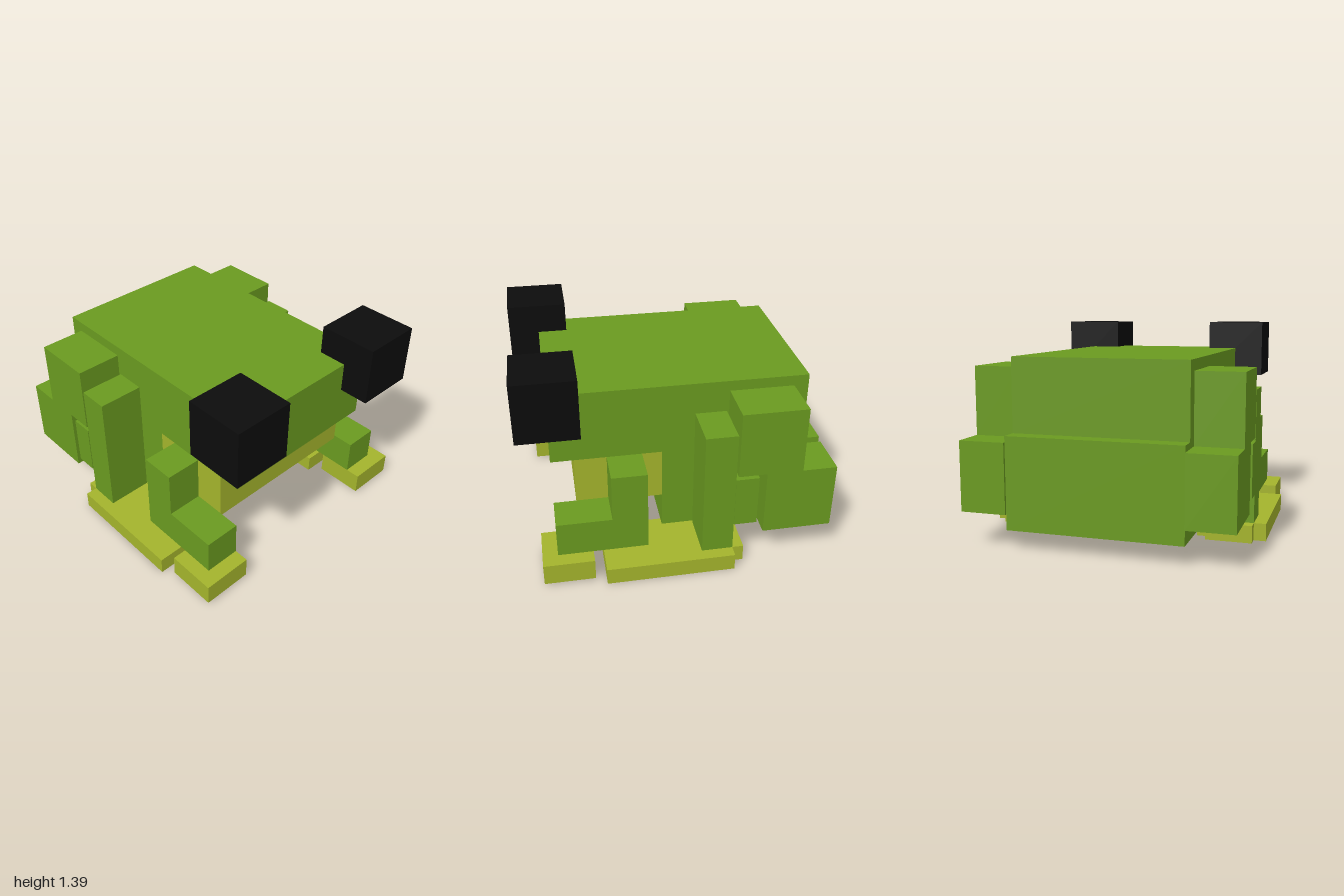
import * as THREE from 'three';

const material = (name, color) => {
  const m = new THREE.MeshStandardMaterial({ color });
  m.name = name;
  return m;
};

export function createModel() {
  const green = material('skinGreen', 0x6a9a20);
  const belly = material('bellyYellow', 0xa4b42c);
  const black = material('eyeBlack', 0x0c0c0c);

  const frog = new THREE.Group();
  frog.name = 'blockFrog';

  // Box given by its extents on each axis
  function box(parent, name, mat, [x0, x1], [y0, y1], [z0, z1]) {
    const mesh = new THREE.Mesh(new THREE.BoxGeometry(x1 - x0, y1 - y0, z1 - z0), mat);
    mesh.position.set((x0 + x1) / 2, (y0 + y1) / 2, (z0 + z1) / 2);
    mesh.name = name;
    parent.add(mesh);
  }

  // Side outline of [z, y] points, extruded from x0 to x1
  function slab(parent, name, mat, [x0, x1], points) {
    const shape = new THREE.Shape(points.map(([z, y]) => new THREE.Vector2(-z, y)));
    const geo = new THREE.ExtrudeGeometry(shape, { depth: x1 - x0, bevelEnabled: false });
    geo.rotateY(Math.PI / 2);
    geo.translate(x0, 0, 0);
    const mesh = new THREE.Mesh(geo, mat);
    mesh.name = name;
    parent.add(mesh);
  }

  // Body: head and back above, rump behind, pale throat under the chin
  const half = [-0.57, 0.57];
  box(frog, 'headAndBack', green, half, [0.72, 1.2], [-0.87, 0.8]);
  box(frog, 'rump', green, half, [0.125, 0.72], [-0.985, 0.08]);
  box(frog, 'throat', belly, half, [0.375, 0.72], [0.08, 0.65]);

  // Eyes and legs, mirrored by swapping the x extents
  for (const side of [1, -1]) {
    const group = new THREE.Group();
    group.name = side > 0 ? 'leftSide' : 'rightSide';
    frog.add(group);
    const span = (a, b) => (side > 0 ? [a, b] : [-b, -a]);

    box(group, 'eye', black, span(0.37, 0.77), [1.0, 1.395], [0.605, 1.0]);

    // Front leg
    slab(group, 'frontLeg', green, span(0.57, 0.81), [
      [0.8, 0.16], [0.21, 0.16], [0.21, 0.72], [0.44, 0.72], [0.44, 0.4], [0.8, 0.4],
    ]);
    box(group, 'frontFoot', belly, span(0.57, 0.905), [0.015, 0.16], [0.57, 0.9]);

    // Folded hind leg
    slab(group, 'thigh', green, span(0.57, 0.875), [
      [-0.355, 1.13], [-0.355, 0.68], [-0.54, 0.68], [-0.54, 0.225],
      [-1.0, 0.225], [-1.0, 0.68], [-0.775, 0.68], [-0.775, 1.13],
    ]);
    box(group, 'shin', green, span(0.57, 0.875), [0.115, 0.985], [-0.34, -0.135]);
    box(group, 'calf', green, span(0.57, 0.88), [0.31, 0.66], [-0.49, -0.34]);
    box(group, 'hindFoot', belly, span(0.5, 0.955), [0, 0.115], [-0.34, 0.5]);
    box(group, 'heel', belly, span(0.57, 0.875), [0, 0.115], [-0.415, -0.34]);
  }
  return frog;
}
